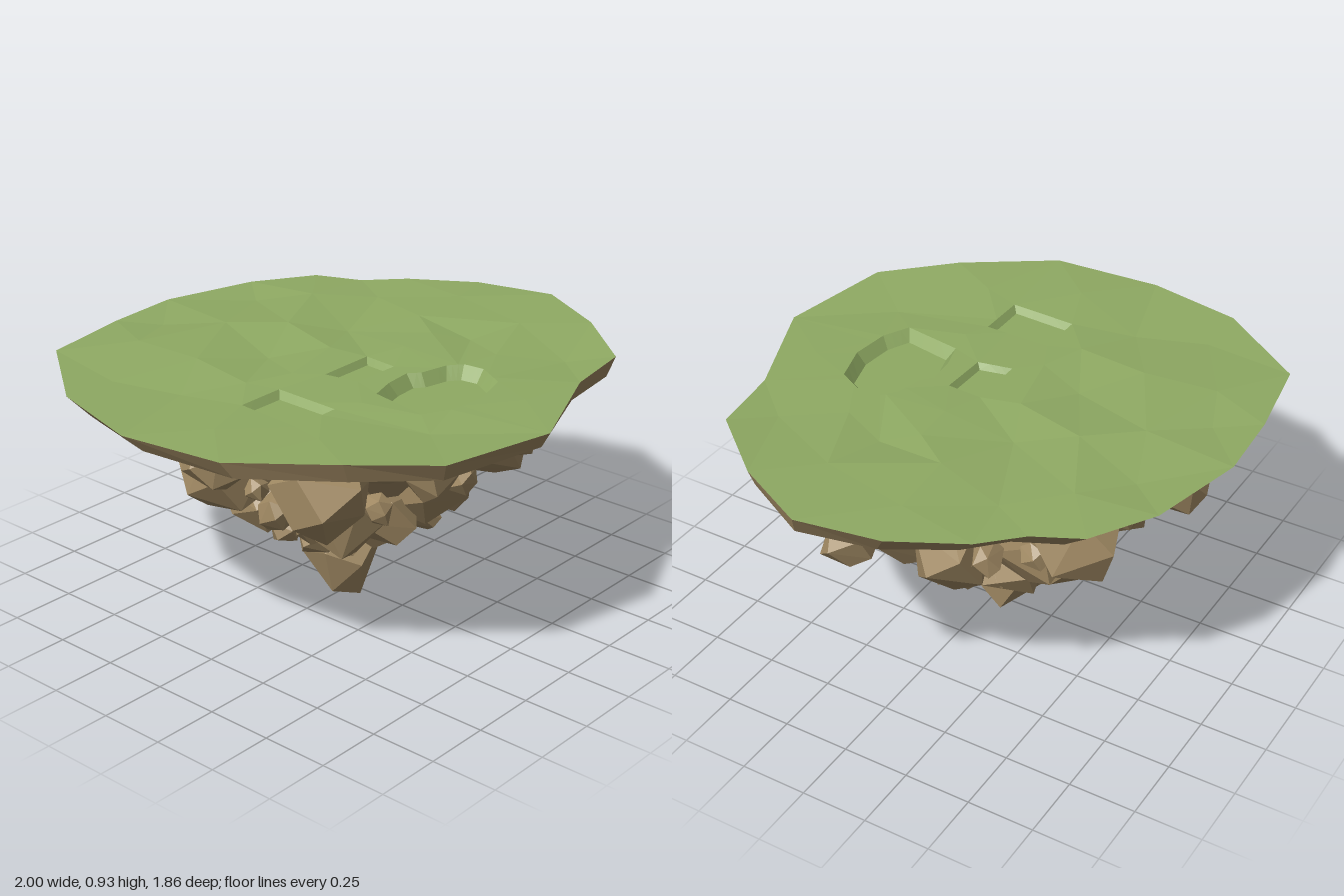
import * as THREE from 'three';
import { ConvexGeometry } from 'three/addons/geometries/ConvexGeometry.js';

const grass = new THREE.MeshStandardMaterial({ color: 0x8faa63, flatShading: true });
grass.name = 'grass green';
const stone = new THREE.MeshStandardMaterial({ color: 0xa08963, flatShading: true });
stone.name = 'earth brown';

let seed = 7;
const rand = () => {
  seed = (seed * 16807) % 2147483647;
  return seed / 2147483647;
};
const jitter = (a) => (rand() * 2 - 1) * a;

// Island outline (x, z, height), running from the back round by +x
const OUTLINE = [
  [-0.01, -0.93, 0.925], [0.36, -0.84, 0.922], [0.59, -0.7, 0.922], [0.67, -0.53, 0.918],
  [0.8, -0.4, 0.92], [0.94, -0.15, 0.925], [1, 0.16, 0.93], [0.85, 0.45, 0.925],
  [0.63, 0.71, 0.917], [0.35, 0.75, 0.912], [-0.07, 0.925, 0.905], [-0.51, 0.84, 0.912],
  [-0.73, 0.6, 0.918], [-0.96, 0.28, 0.91], [-1, -0.13, 0.9], [-0.91, -0.5, 0.912],
  [-0.65, -0.85, 0.918], [-0.3, -0.91, 0.922],
];
const groundY = (x, z) => 0.914 + 0.01 * x - 0.008 * z;

// Uneven ground: x, z, height offset
const BUMPS = [
  [-0.4, -0.68, 0.012], [0.23, -0.69, -0.01], [-0.05, -0.58, 0.008], [-0.7, -0.5, -0.006],
  [-0.38, -0.4, 0.01], [0.1, -0.4, 0.01], [0.57, -0.36, -0.01], [-0.62, -0.24, -0.012],
  [-0.17, -0.25, -0.014], [0.22, -0.21, -0.014], [0.75, -0.1, 0.006], [-0.78, 0.08, 0.006],
  [-0.25, -0.06, 0.004], [0.2, 0.08, 0.008], [0.37, 0.07, 0.008], [0.45, 0.19, -0.014],
  [0.67, 0.25, 0.004], [0.37, 0.37, 0], [0.5, 0.58, -0.014], [-0.32, 0.62, -0.01],
  [-0.29, 0.3, 0.004], [-0.62, 0.4, 0.01], [0.1, 0.7, 0.002], [0.4, -0.55, 0.006],
  [0.48, -0.08, 0.008], [-0.42, -0.12, 0.004], [-0.2, -0.76, -0.004], [0.02, -0.12, 0.006],
];

// Shallow pits sunk into the ground
const PITS = [
  { inset: 0.02, depth: 0.026, rim: [[-0.58, 0.26], [-0.565, 0], [-0.38, 0], [-0.385, 0.26]] },
  { inset: 0.016, depth: 0.024, rim: [[-0.15, 0.16], [-0.175, 0.03], [0.05, 0.03], [0.04, 0.165]] },
  { inset: 0.034, depth: 0.045, rim: [[0.02, 0.24], [0.06, 0.275], [0.17, 0.3], [0.22, 0.34],
    [0.23, 0.42], [0.17, 0.53], [0.02, 0.575], [-0.13, 0.56], [-0.23, 0.51], [-0.19, 0.28], [-0.09, 0.25]] },
];

const subdivide = (loop, n) => loop.flatMap(([x, z], i) => {
  const [u, v] = loop[(i + 1) % loop.length];
  return Array.from({ length: n }, (_, k) => [x + (u - x) * k / n, z + (v - z) * k / n]);
});

function inside(x, z, loop) {
  let hit = false;
  loop.forEach(([ax, az], i) => {
    const [bx, bz] = loop[(i + 1) % loop.length];
    if ((az > z) !== (bz > z) && x < ax + (bx - ax) * (z - az) / (bz - az)) hit = !hit;
  });
  return hit;
}

// Delaunay triangulation in the x-z plane
function triangulate(points) {
  const p = points.map((v) => [v.x + jitter(1e-5), v.z + jitter(1e-5)]);
  const n = p.length;
  p.push([-60, -50], [60, -50], [0, 70]);
  const make = (a, b, c) => {
    const [ax, ay] = p[a];
    const bx = p[b][0] - ax, by = p[b][1] - ay, cx = p[c][0] - ax, cy = p[c][1] - ay;
    const d = 2 * (bx * cy - by * cx);
    const ux = (cy * (bx * bx + by * by) - by * (cx * cx + cy * cy)) / d;
    const uy = (bx * (cx * cx + cy * cy) - cx * (bx * bx + by * by)) / d;
    return { v: [a, b, c], x: ax + ux, y: ay + uy, r: ux * ux + uy * uy };
  };
  let tris = [make(n, n + 1, n + 2)];
  for (let i = 0; i < n; i++) {
    const edges = new Map();
    tris = tris.filter((t) => {
      if ((p[i][0] - t.x) ** 2 + (p[i][1] - t.y) ** 2 >= t.r) return true;
      for (let k = 0; k < 3; k++) {
        const a = t.v[k], b = t.v[(k + 1) % 3], key = Math.min(a, b) + '_' + Math.max(a, b);
        if (edges.has(key)) edges.delete(key);
        else edges.set(key, [a, b]);
      }
      return false;
    });
    for (const [a, b] of edges.values()) tris.push(make(a, b, i));
  }
  return tris.map((t) => t.v).filter((v) => v.every((i) => i < n));
}

function fromTriangles(list) {
  const g = new THREE.BufferGeometry().setFromPoints(list);
  g.computeVertexNormals();
  return g;
}

function makeGround() {
  const pts = OUTLINE.map(([x, z, y]) => new THREE.Vector3(x, y, z));
  for (const [x, z, h] of BUMPS) pts.push(new THREE.Vector3(x, groundY(x, z) + h, z));
  for (const { rim, inset, depth } of PITS) {
    const xs = rim.map((q) => q[0]), zs = rim.map((q) => q[1]);
    const x0 = Math.min(...xs), x1 = Math.max(...xs), z0 = Math.min(...zs), z1 = Math.max(...zs);
    const cx = (x0 + x1) / 2, cz = (z0 + z1) / 2;
    const sx = 1 - 2 * inset / (x1 - x0), sz = 1 - 2 * inset / (z1 - z0);
    for (const [x, z] of subdivide(rim, 3)) {
      pts.push(new THREE.Vector3(x, groundY(x, z), z));
      pts.push(new THREE.Vector3(cx + (x - cx) * sx, groundY(cx, cz) - depth, cz + (z - cz) * sz));
    }
  }
  const out = [];
  for (const [i, j, k] of triangulate(pts)) {
    const a = pts[i], b = pts[j], c = pts[k];
    if (!inside((a.x + b.x + c.x) / 3, (a.z + b.z + c.z) / 3, OUTLINE)) continue;
    const up = (b.z - a.z) * (c.x - a.x) - (b.x - a.x) * (c.z - a.z);
    if (Math.abs(up) < 1e-6) continue;
    out.push(a, ...(up > 0 ? [b, c] : [c, b]));
  }
  return fromTriangles(out);
}

// Earth bowl: the outline shrinking downwards in rings (x scale, z scale, z shift, height)
function makeBowl() {
  const levels = [[0.955, 0.92, 0.04, 0.845], [0.74, 0.715, 0.02, 0.765], [0.46, 0.45, 0, 0.62],
    [0.25, 0.25, -0.01, 0.4], [0.1, 0.1, -0.02, 0.2]];
  const rings = [OUTLINE.map(([x, z, y]) => new THREE.Vector3(x, y, z))];
  for (const [sx, sz, shift, y] of levels) {
    rings.push(OUTLINE.map(([x, z]) =>
      new THREE.Vector3(x * sx, y + (y < 0.8 ? jitter(0.012) : 0), z * sz + shift)));
  }
  const out = [];
  for (let l = 0; l < rings.length - 1; l++) {
    OUTLINE.forEach((_, i) => {
      const j = (i + 1) % OUTLINE.length, u = rings[l], d = rings[l + 1];
      out.push(u[i], u[j], d[i], u[j], d[j], d[i]);
    });
  }
  return fromTriangles(out);
}

// Faceted boulder: hull of jittered points on a squashed sphere
function makeRock(r) {
  const pts = [], n = 13, turn = jitter(3);
  const s = [1 + jitter(0.12), 0.95 + jitter(0.12), 1 + jitter(0.12)];
  for (let i = 0; i < n; i++) {
    const y = 1 - 2 * (i + 0.5) / n, a = i * 2.4 + turn + jitter(0.3);
    const k = r * (1.08 + jitter(0.12)), w = Math.sqrt(1 - y * y);
    pts.push(new THREE.Vector3(Math.cos(a) * w * k * s[0], y * k * s[1], Math.sin(a) * w * k * s[2]));
  }
  return new ConvexGeometry(pts);
}

// Main boulders: x, y, z, radius
const ROCKS = [
  [-0.76, 0.77, 0.05, 0.11], [0.79, 0.76, 0.08, 0.11], [0.14, 0.75, 0.58, 0.11], [-0.5, 0.65, 0.3, 0.17],
  [-0.13, 0.66, 0.48, 0.11], [0.31, 0.63, 0.38, 0.16], [0.46, 0.58, -0.11, 0.16], [0.53, 0.68, 0.22, 0.09],
  [0.31, 0.69, -0.51, 0.15], [-0.08, 0.74, -0.7, 0.12], [-0.4, 0.67, -0.53, 0.14], [-0.5, 0.62, -0.15, 0.16],
  [0.22, 0.55, -0.29, 0.18], [-0.12, 0.55, -0.42, 0.15], [0.05, 0.52, 0.3, 0.17], [-0.25, 0.46, 0.15, 0.17],
  [0.34, 0.5, 0.14, 0.16], [0.2, 0.43, 0.15, 0.14], [-0.41, 0.45, 0, 0.07], [-0.27, 0.43, -0.18, 0.15],
  [0.1, 0.43, -0.36, 0.13], [0.18, 0.36, -0.18, 0.13], [-0.08, 0.4, 0.2, 0.15], [0, 0.31, 0.13, 0.11],
  [-0.17, 0.29, 0, 0.1], [0.2, 0.3, 0.02, 0.1], [-0.05, 0.35, -0.24, 0.14], [0.61, 0.71, -0.34, 0.06],
  [0.36, 0.44, -0.05, 0.11],
];

// Pointed stone at the very bottom
const TIP = [
  [-0.13, 0.03, 0.02], [-0.03, 0, 0.07], [0.09, 0.03, -0.08], [0.13, 0.2, 0.05], [-0.17, 0.2, 0.02],
  [-0.06, 0.1, -0.19], [0.05, 0.25, -0.2], [0, 0.25, 0.13], [-0.1, 0.3, -0.15], [-0.08, 0.15, 0.12],
];

export function createModel() {
  seed = 7;
  const island = new THREE.Group();
  island.name = 'floatingIsland';
  const add = (name, geometry, material, x = 0, y = 0, z = 0) => {
    const mesh = new THREE.Mesh(geometry, material);
    mesh.name = name;
    mesh.position.set(x, y, z);
    island.add(mesh);
  };
  add('grassTop', makeGround(), grass);
  add('earthBowl', makeBowl(), stone);
  add('tipStone', new ConvexGeometry(TIP.map((q) => new THREE.Vector3(...q))), stone);
  for (const [x, y, z, r] of ROCKS) add('boulder', makeRock(r), stone, x, y, z);

  // Small stones filling the gaps round the cone
  for (let i = 0; i < 24; i++) {
    const y = 0.24 + 0.46 * (i + 0.5) / 24, a = i * 2.4, d = 0.88 * y;
    add('smallStone', makeRock(0.055 + jitter(0.02)), stone, Math.cos(a) * d, y, Math.sin(a) * d - 0.02);
  }
  return island;
}
